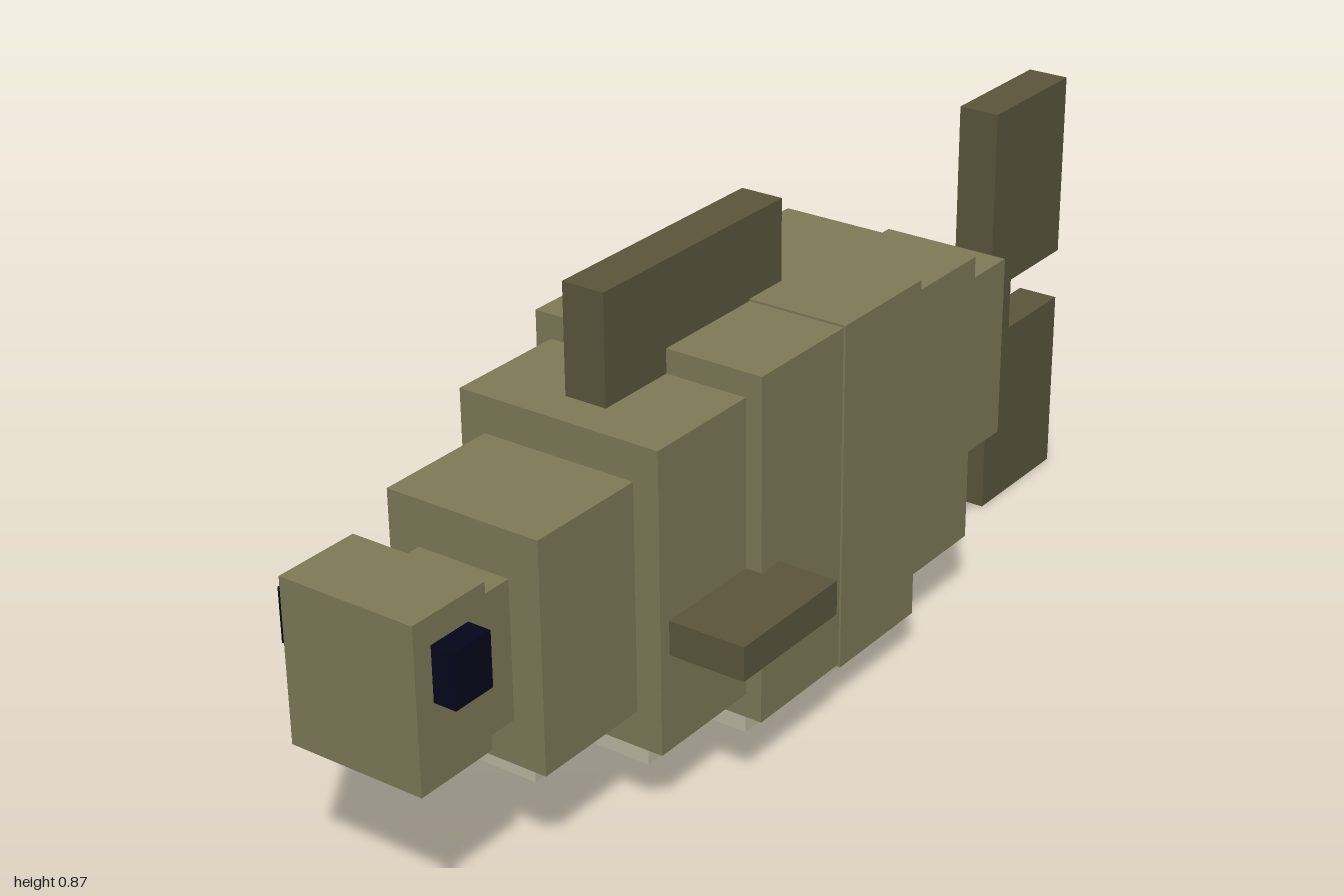
import * as THREE from 'three';

const mat = (name, color) => {
  const m = new THREE.MeshStandardMaterial({ color });
  m.name = name;
  return m;
};

export function createModel() {
  const fish = new THREE.Group();
  fish.name = 'blockFish';
  const olive = mat('olive scales', 0x7f7a58);
  const pale = mat('pale belly', 0xbdb8a0);
  const brown = mat('brown fin', 0x5c563d);
  const navy = mat('dark eye', 0x05051c);

  // Belly plates are pale around the rim and olive underneath
  const bellySides = [pale, pale, pale, olive, pale, pale];

  // Box given by its extents along each axis
  const block = (name, material, [x0, x1], [y0, y1], [z0, z1]) => {
    const mesh = new THREE.Mesh(new THREE.BoxGeometry(x1 - x0, y1 - y0, z1 - z0), material);
    mesh.position.set((x0 + x1) / 2, (y0 + y1) / 2, (z0 + z1) / 2);
    mesh.name = name;
    fish.add(mesh);
  };
  const centred = (name, material, half, y, z) => block(name, material, [-half, half], y, z);

  // Body segments: back z, front z, half width, bottom, top, belly half width, belly bottom
  const segments = [
    [0.74, 0.97, 0.088, 0.281, 0.527, 0.075, 0.27],
    [0.508, 0.74, 0.147, 0.2, 0.61, 0.125, 0.181],
    [0.277, 0.508, 0.195, 0.134, 0.676, 0.167, 0.107],
    [0.047, 0.277, 0.226, 0.09, 0.72, 0.194, 0.06],
    [-0.183, 0.047, 0.23, 0.085, 0.724, 0.197, 0.053],
    [-0.413, -0.183, 0.198, 0.129, 0.68, 0.17, 0.102],
    [-0.643, -0.413, 0.126, 0.229, 0.58, 0.107, 0.214],
  ];
  segments.forEach(([z0, z1, half, y0, y1, bellyHalf, bellyY], i) => {
    centred(`bodySegment${i + 1}`, olive, half, [y0, y1], [z0, z1]);
    centred(`belly${i + 1}`, bellySides, bellyHalf, [bellyY, y0 + 0.03], [z0 + 0.001, z1 - 0.001]);
  });

  // Head
  centred('head', olive, 0.128, [0.293, 0.581], [0.84, 1]);

  // Fins on the centre line
  centred('dorsalFin', brown, 0.04, [0.62, 0.872], [-0.046, 0.435]);
  centred('tailStem', brown, 0.04, [0.295, 0.518], [-0.82, -0.662]);
  centred('upperTailLobe', brown, 0.04, [0.456, 0.81], [-1, -0.745]);
  centred('lowerTailLobe', brown, 0.04, [0, 0.356], [-1, -0.745]);

  // Paired eyes and side fins
  for (const [side, s] of [['left', 1], ['right', -1]]) {
    const span = (a, b) => (s > 0 ? [a, b] : [-b, -a]);
    block(`${side}Eye`, navy, span(0.12, 0.17), [0.437, 0.533], [0.88, 0.963]);
    block(`${side}SideFin`, brown, span(0.17, 0.338), [0.309, 0.371], [0.226, 0.485]);
  }
  return fish;
}
